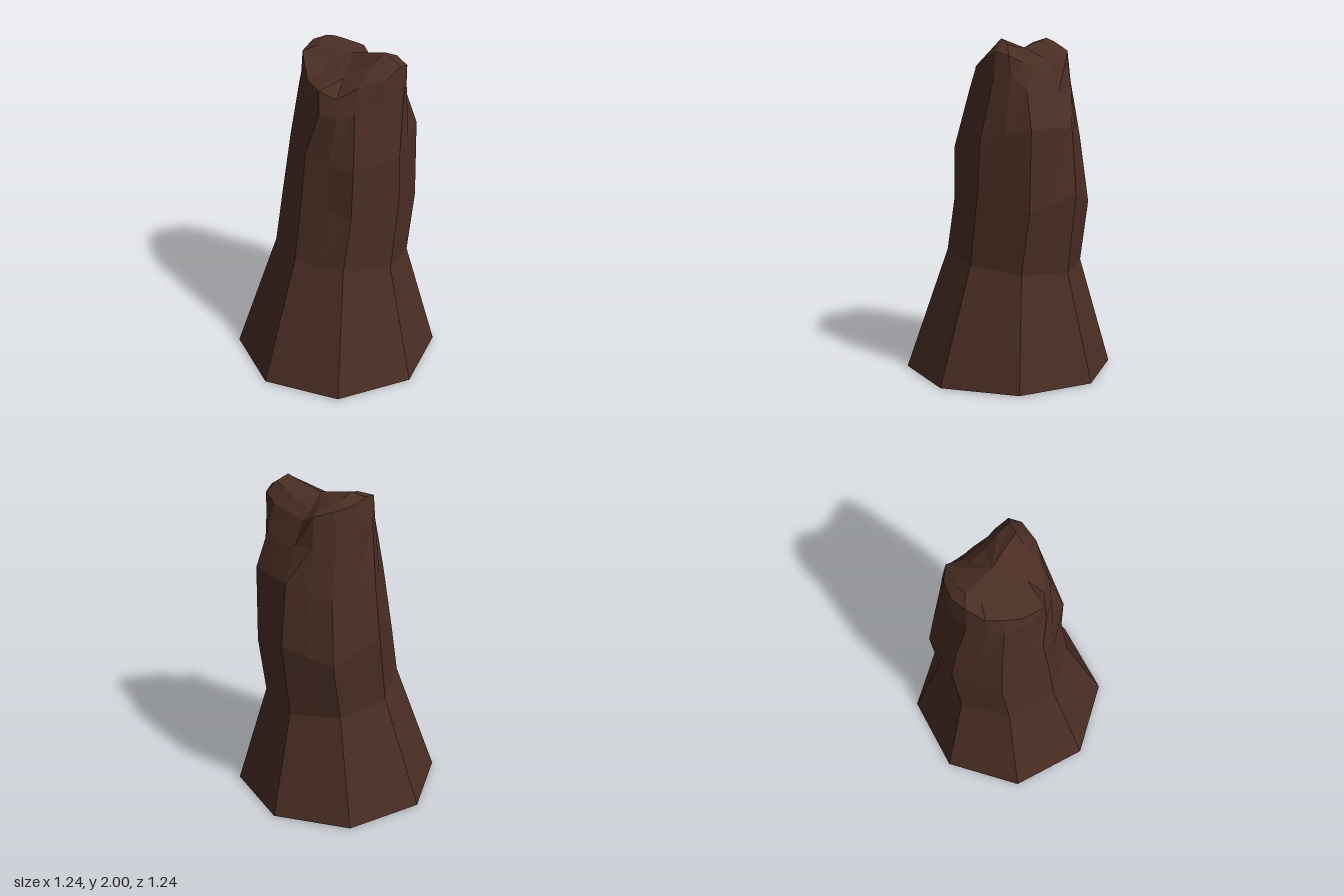
import * as THREE from 'three';

const SIDES = 16; // eight flat sides, each split once so the gnarled top can have more facets

// Eight corners plus the midpoints between them
function withMidpoints(corners) {
  return corners.flatMap((p, i) => {
    const q = corners[(i + 1) % corners.length];
    return [p, p.map((v, j) => (v + q[j]) / 2)];
  });
}

// Octagonal ring: centre, radius, lean of its plane and lift of the diagonal corners
function octagon(cx, cy, cz, r, tilt, lift) {
  const corners = [];
  for (let i = 0; i < 8; i++) {
    const a = (i * Math.PI) / 4;
    const dx = r * Math.cos(a), dz = r * Math.sin(a);
    corners.push([cx + dx, cy + tilt * (dz - dx) + (i % 2 ? lift : 0), cz + dz]);
  }
  return withMidpoints(corners);
}

// Irregular rings, starting at +x and turning towards the front
const bulge = withMidpoints([
  [0.475, 1.5, -0.08], [0.36, 1.42, 0.2], [0.09, 1.36, 0.33], [-0.18, 1.42, 0.18],
  [-0.265, 1.45, -0.06], [-0.18, 1.45, -0.31], [0.08, 1.42, -0.415], [0.33, 1.5, -0.33],
]);
const shoulder = [
  [0.4, 1.72, -0.06], [0.4, 1.8, 0.03], [0.38, 1.8, 0.12], [0.27, 1.76, 0.2],
  [0.1, 1.7, 0.24], [0, 1.66, 0.24], [-0.1, 1.68, 0.2], [-0.17, 1.75, 0.1],
  [-0.21, 1.78, -0.04], [-0.2, 1.8, -0.13], [-0.17, 1.8, -0.24], [-0.08, 1.8, -0.32],
  [0.05, 1.75, -0.36], [0.18, 1.72, -0.345], [0.27, 1.7, -0.26], [0.35, 1.68, -0.17],
];
const rim = [
  [0.36, 1.87, -0.04], [0.4, 1.91, 0.04], [0.36, 1.93, 0.11], [0.27, 1.87, 0.18],
  [0.12, 1.84, 0.2], [0, 1.77, 0.2], [-0.1, 1.82, 0.19], [-0.16, 1.83, 0.06],
  [-0.18, 1.88, -0.05], [-0.19, 1.93, -0.14], [-0.13, 1.96, -0.24], [-0.05, 1.94, -0.31],
  [0.06, 1.92, -0.34], [0.17, 1.89, -0.32], [0.22, 1.83, -0.22], [0.28, 1.84, -0.13],
];
const crest = [
  [0.3, 1.95, -0.02], [0.34, 1.97, 0.04], [0.27, 2, 0.07], [0.22, 1.96, 0.1],
  [0.12, 1.9, 0.12], [0.04, 1.86, 0.11], [-0.03, 1.86, 0.08], [-0.06, 1.87, 0.01],
  [-0.06, 1.9, -0.07], [-0.1, 1.96, -0.15], [-0.05, 1.99, -0.23], [0, 1.97, -0.27],
  [0.06, 1.95, -0.27], [0.13, 1.92, -0.25], [0.17, 1.88, -0.19], [0.23, 1.89, -0.11],
];

// Skin the rings and close both ends with a fan
function loft(rings, bottom, top) {
  const points = [...rings.flat(), bottom, top];
  const bottomId = points.length - 2, topId = points.length - 1;
  const last = (rings.length - 1) * SIDES;
  const index = [];
  for (let k = 0; k < SIDES; k++) {
    const n = (k + 1) % SIDES;
    for (let r = 0; r < rings.length - 1; r++) {
      const a = r * SIDES + k, b = r * SIDES + n;
      index.push(a, a + SIDES, b, b, a + SIDES, b + SIDES);
    }
    index.push(bottomId, k, n, topId, last + n, last + k);
  }
  const geometry = new THREE.BufferGeometry();
  geometry.setAttribute('position', new THREE.Float32BufferAttribute(points.flat(), 3));
  geometry.setIndex(index);
  const flat = geometry.toNonIndexed();
  flat.computeVertexNormals();
  return flat;
}

export function createModel() {
  const bark = new THREE.MeshStandardMaterial({ color: 0x4a2e24, flatShading: true });
  bark.name = 'dark brown bark';

  // Flared foot, leaning shaft and broken two-peaked top
  const rings = [
    octagon(0, 0.005, 0, 0.622, 0, 0),
    octagon(0.035, 0.7, -0.03, 0.402, 0.1, 0),
    octagon(0.08, 1.045, -0.07, 0.4, 0.05, 0.1),
    bulge, shoulder, rim, crest,
  ];
  const trunk = new THREE.Mesh(loft(rings, [0, 0, 0], [0.1, 1.94, -0.08]), bark);
  trunk.name = 'trunk';

  const model = new THREE.Group();
  model.name = 'treeStump';
  model.add(trunk);
  return model;
}
